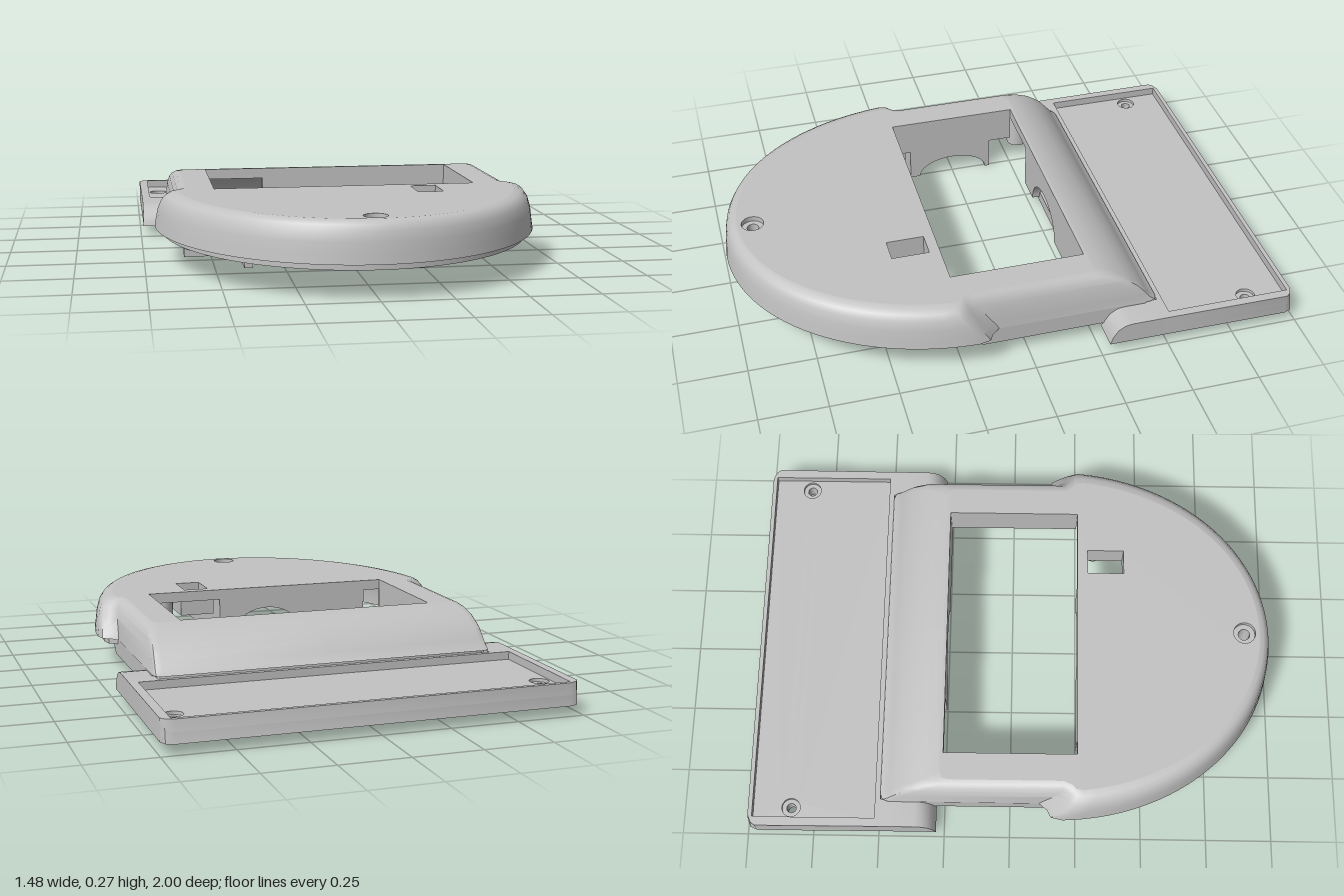
import * as THREE from 'three';
import { toCreasedNormals } from 'three/addons/utils/BufferGeometryUtils.js';

const grey = new THREE.MeshStandardMaterial({ color: 0xc2c2c2, side: THREE.DoubleSide });
grey.name = 'grey plastic';

export function createModel() {
  const model = new THREE.Group();
  const add = (name, geo) => {
    const mesh = new THREE.Mesh(geo, grey);
    mesh.name = name;
    model.add(mesh);
    return mesh;
  };
  const box = (name, x0, x1, y0, y1, z0, z1) => {
    const g = new THREE.BoxGeometry(x1 - x0, y1 - y0, z1 - z0);
    return add(name, g.translate((x0 + x1) / 2, (y0 + y1) / 2, (z0 + z1) / 2));
  };
  const toShape = (pts, holes = []) => {
    const s = new THREE.Shape(pts.map(([a, b]) => new THREE.Vector2(a, b)));
    s.holes = holes.map((h) => new THREE.Path(h.map(([a, b]) => new THREE.Vector2(a, b))));
    return s;
  };
  const extrude = (shape, depth) =>
    toCreasedNormals(new THREE.ExtrudeGeometry(shape, { depth, bevelEnabled: false }), 0.5);
  // horizontal slab from [x, z] points
  const slab = (name, pts, holes, y0, y1) => {
    const flip = (p) => p.map(([x, z]) => [x, -z]);
    const g = extrude(toShape(flip(pts), holes.map(flip)), y1 - y0);
    return add(name, g.rotateX(-Math.PI / 2).translate(0, y0, 0));
  };
  // wall with a side profile of [z, y] points, spanning x0..x1
  const sideWall = (name, pts, x0, x1) => {
    const g = extrude(toShape(pts.map(([z, y]) => [-z, y])), x1 - x0);
    return add(name, g.rotateY(Math.PI / 2).translate(x0, 0, 0));
  };
  const rect = (x0, x1, z0, z1) => [[x0, z0], [x1, z0], [x1, z1], [x0, z1]];
  const circle = (cx, cz, r, n = 24) => Array.from({ length: n }, (_, i) => {
    const a = (i / n) * Math.PI * 2;
    return [cx + r * Math.cos(a), cz + r * Math.sin(a)];
  });
  const arch = (r, y0, h) => Array.from({ length: 21 }, (_, i) => {
    const a = Math.PI * (1 - i / 20);
    return [r * Math.cos(a), y0 + h * Math.sin(a)];
  });
  const boss = (name, x, z, r, hole, y0, y1) => slab(name, circle(x, z, r), [circle(x, z, hole)], y0, y1);

  // shell outline at height y: rounded nose, flared shoulder, narrow neck
  const outline = (y, inset, back) => {
    const f = 0.18 + Math.max(0, y - 0.13) * 0.75;
    const a0 = Math.asin(Math.pow(Math.max(0, (f - 0.2) / 0.8), 1 / 0.9));
    const half = [];
    const n = 26, kx = 1 - inset / 0.708;
    for (let i = 0; i <= n; i++) {
      const a = Math.PI / 2 + (a0 - Math.PI / 2) * (i / n);
      const c = Math.max(0, Math.cos(a)), s = Math.max(0, Math.sin(a));
      const taper = 1 - 0.07 * s * c;
      half.push([0.708 * Math.pow(c, 1.05) * taper * kx, (0.2 + 0.8 * Math.pow(s, 0.9)) * (1 - inset * 0.7)]);
    }
    half[0][0] = 0;
    const xe = half[n][0], xn = 0.645 - inset * 0.7, ze = Math.min(f, half[n][1]) - 0.005;
    half.push([xe - (xe - xn) * 0.15, ze - 0.02], [xe - (xe - xn) * 0.6, ze - 0.035],
      [xn, ze - 0.065], [xn, back + 0.03], [xn - 0.008, back + 0.008], [xn - 0.03, back], [0, back]);
    const mirrored = half.slice(1, -1).reverse().map(([x, z]) => [-x, z]);
    return half.concat(mirrored);
  };

  // shell skin: [height, inset, back edge], from inner top, round the lip, to outer top
  const levels = [
    [0.235, 0.085, -0.26], [0.2, 0.07, -0.37], [0.15, 0.06, -0.42], [0.105, 0.06, -0.43],
    [0.105, 0.025, -0.47], [0.126, 0.025, -0.47], [0.126, 0, -0.49], [0.14, 0.002, -0.47],
    [0.16, 0.005, -0.455], [0.2, 0.01, -0.42], [0.235, 0.02, -0.37], [0.255, 0.034, -0.325],
    [0.266, 0.052, -0.29], [0.27, 0.075, -0.262],
  ];
  const pos = [], index = [];
  const count = outline(0.2, 0, -0.4).length;
  levels.forEach(([y, inset, back], j) => {
    outline(y, inset, back).forEach(([x, z]) => pos.push(x, y, z));
    if (j === 0) return;
    for (let i = 0; i < count; i++) {
      const k = (i + 1) % count, lo = (j - 1) * count, hi = j * count;
      index.push(lo + i, lo + k, hi + k, lo + i, hi + k, hi + i);
    }
  });
  const skin = new THREE.BufferGeometry();
  skin.setAttribute('position', new THREE.Float32BufferAttribute(pos, 3));
  skin.setIndex(index);
  add('shell', toCreasedNormals(skin, 0.7));

  // roof with display window, switch slot and countersunk screw hole
  const top = outline(0.27, 0.075, -0.262);
  const slot = rect(0.24, 0.335, 0.29, 0.43);
  const cuts = [rect(-0.49, 0.49, -0.25, 0.25), slot];
  slab('roofUpper', top, [...cuts, circle(0, 0.89, 0.042)], 0.25, 0.27);
  slab('roofLower', top, [...cuts, circle(0, 0.89, 0.022)], 0.23, 0.25);
  slab('slotCollar', rect(0.22, 0.355, 0.27, 0.45), [slot], 0.17, 0.235);
  boss('noseScrewBoss', 0, 0.89, 0.06, 0.022, 0.11, 0.235);

  // rear tray: floor, raised rim, drafted back edge, holes
  const tray = [[-0.74, -0.49], [-0.742, -0.96], [-0.73, -0.988], [-0.7, -1],
    [0.7, -1], [0.73, -0.988], [0.742, -0.96], [0.74, -0.49]];
  const draft = (mesh) => {
    const p = mesh.geometry.attributes.position;
    for (let i = 0; i < p.count; i++) {
      if (p.getZ(i) < -0.978) p.setZ(i, p.getZ(i) + (p.getY(i) - 0.04) * 0.15);
    }
    mesh.geometry = toCreasedNormals(mesh.geometry, 0.5);
  };
  const screws = [-0.665, 0.665];
  draft(slab('trayFloor', tray, screws.map((x) => circle(x, -0.83, 0.018)), 0.04, 0.078));
  slab('trayPad', rect(-0.72, 0.72, -0.975, -0.5), screws.map((x) => circle(x, -0.83, 0.035)), 0.078, 0.09);
  draft(slab('trayRim', tray, [rect(-0.708, 0.708, -0.972, -0.51)], 0.078, 0.12));
  for (const x of screws) boss('trayFoot', x, -0.83, 0.035, 0.018, 0.02, 0.042);
  add('trayRib', extrude(toShape([[-0.35, 0.042], [-0.335, 0.012], [0.335, 0.012], [0.35, 0.042]]), 0.025)
    .translate(0, 0, -0.675));

  // floor under the neck, cut back beside the centre tongue
  slab('neckFloor', [[-0.645, -0.495], [0.645, -0.495], [0.645, -0.42], [0.5, -0.42], [0.5, -0.28],
    [-0.24, -0.28], [-0.24, -0.42], [-0.645, -0.42]], [], 0.04, 0.085);

  // arms beside the neck, neck skirts and window side walls
  const arm = [[-0.5, 0.04], [-0.28, 0.04], [-0.29, 0.07], [-0.31, 0.1], [-0.335, 0.116], [-0.36, 0.12], [-0.5, 0.12]];
  const skirt = [[0.24, 0.12], [0.17, 0.06], [-0.3, 0.06], [-0.445, 0.06], [-0.445, 0.135], [0.2, 0.135]];
  for (const s of [-1, 1]) {
    const span = (a, b) => (s > 0 ? [a, b] : [-b, -a]);
    sideWall('trayArm', arm, ...span(0.635, 0.74));
    sideWall('neckSkirt', skirt, ...span(0.59, 0.644));
    box('windowSideWall', ...span(0.49, 0.52), 0.13, 0.24, -0.25, 0.25);
  }

  // cross walls in front of and behind the window, each with an arched cutout
  const archWall = (name, x0, x1, y0, z, depth) => {
    const pts = [[x0, 0.235], [x0, y0], ...arch(0.15, y0, 0.12), [x1, y0], [x1, 0.235]];
    add(name, extrude(toShape(pts), depth).translate(0, 0, z));
  };
  archWall('frontCrossWall', -0.42, 0.2, 0.065, 0.25, 0.04);
  archWall('rearCrossWall', -0.26, 0.5, 0.06, -0.29, 0.04);

  // compartment walls under the nose
  box('compartmentSide', 0.17, 0.2, 0.065, 0.235, 0.28, 0.79);
  box('compartmentSide', -0.42, -0.39, 0.065, 0.235, 0.28, 0.7);
  box('compartmentEnd', -0.39, 0.17, 0.11, 0.235, 0.67, 0.7);

  // shaft saddle on the right side
  const saddle = [[-0.16, 0.13], [-0.16, 0.003], ...arch(0.14, 0.003, 0.075), [0.18, 0.003], [0.18, 0.13]];
  sideWall('shaftSaddle', saddle, -0.6, -0.49);

  // board mounting posts
  for (const [x, z] of [[0.42, 0.32], [-0.56, 0.32], [-0.56, -0.3], [0.56, -0.3]]) {
    boss('mountingPost', x, z, 0.042, 0.018, 0.062, 0.235);
  }
  return model;
}
